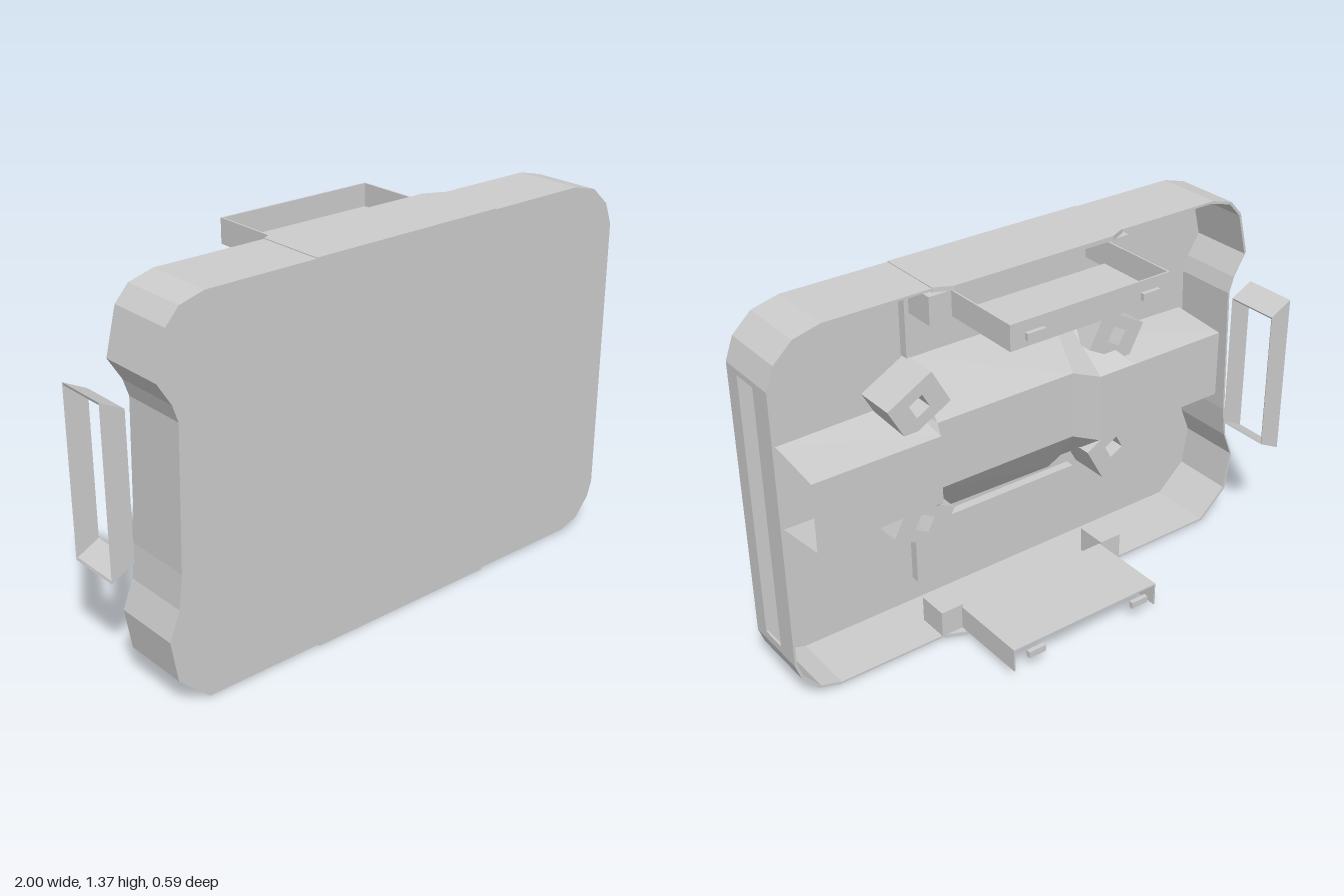
import * as THREE from 'three';

const mat = new THREE.MeshStandardMaterial({ color: 0xcccccc, flatShading: true, side: THREE.DoubleSide });
const MID = 0.68; // height of the horizontal mirror line

function add(parent, name, geo) {
  const m = new THREE.Mesh(geo, mat);
  m.name = name;
  parent.add(m);
  return m;
}

function box(parent, name, x0, x1, y0, y1, z0, z1) {
  const m = add(parent, name, new THREE.BoxGeometry(x1 - x0, y1 - y0, z1 - z0));
  m.position.set((x0 + x1) / 2, (y0 + y1) / 2, (z0 + z1) / 2);
  return m;
}

const vecs = pts => pts.map(p => new THREE.Vector2(p[0], p[1]));

function shapeOf(pts, hole) {
  const s = new THREE.Shape(vecs(pts));
  if (hole) s.holes.push(new THREE.Path(vecs(hole)));
  return s;
}

// flat shape in x/y given thickness from z0 to z1
function slab(parent, name, shape, z0, z1) {
  const g = new THREE.ExtrudeGeometry(shape, { depth: z1 - z0, bevelEnabled: false });
  return add(parent, name, g.translate(0, 0, z0));
}

// joins equal-length closed loops of [x, y, z] points with quads
function loft(loops) {
  const n = loops[0].length, idx = [];
  for (let i = 0; i < loops.length - 1; i++)
    for (let j = 0; j < n; j++) {
      const a = i * n + j, b = i * n + (j + 1) % n;
      idx.push(a, b, a + n, b, b + n, a + n);
    }
  const g = new THREE.BufferGeometry();
  g.setAttribute('position', new THREE.Float32BufferAttribute(loops.flat(2), 3));
  g.setIndex(idx);
  const flat = g.toNonIndexed();
  flat.computeVertexNormals();
  return flat;
}

export function createModel() {
  const root = new THREE.Group();
  root.name = 'mountingTray';

  // tray outline, counter-clockwise from the lower edge, with a grip recess at -x
  const outer = [
    [-0.82, 0.005], [0.84, 0.005], [0.92, 0.03], [0.98, 0.1], [1, 0.16],
    [1, 1.19], [0.97, 1.27], [0.9, 1.335], [0.8, 1.36],
    [-0.78, 1.36], [-0.87, 1.335], [-0.92, 1.28], [-0.96, 1.12], [-0.91, 1.04], [-0.89, 0.98],
    [-0.905, 0.48], [-0.92, 0.36], [-0.96, 0.26], [-0.935, 0.11],
  ];
  const inner = outer.map(([x, y]) => [0.02 + (x - 0.02) * 0.992, MID + (y - MID) * 0.988]);

  // thin-walled shell, open at the back
  const shell = new THREE.Group();
  shell.name = 'shell';
  root.add(shell);
  slab(shell, 'frontPanel', shapeOf(outer), 0.285, 0.295);
  const ring = shapeOf(outer, inner);
  slab(shell, 'rearRim', ring, 0.04, 0.13);
  slab(shell, 'frontRim', ring, 0.23, 0.285);

  // middle of the rim leaves a long side slot open at +x
  const xi = inner[4][0];
  const cut = [
    [1, 1.17], ...outer.slice(5), ...outer.slice(0, 5), [1, 0.19],
    [xi, 0.19], ...inner.slice(0, 5).reverse(), ...inner.slice(5).reverse(), [xi, 1.17],
  ];
  slab(shell, 'slottedRim', shapeOf(cut), 0.13, 0.23);

  // upper and lower tabs with flange, hinge lugs and latch pins
  for (const s of [1, -1]) {
    const end = new THREE.Group();
    end.name = s > 0 ? 'upperTab' : 'lowerTab';
    const Y = (a, b) => (s > 0 ? [a, b] : [2 * MID - b, 2 * MID - a]);
    const flange = shapeOf([[-0.365, 0.295], [-0.365, 0.04], [-0.3, 0.01], [0.34, 0.01], [0.405, 0.04], [0.405, 0.295]]);
    const g = new THREE.ExtrudeGeometry(flange, { depth: 0.016, bevelEnabled: false });
    g.rotateX(Math.PI / 2).translate(0, Y(1.347, 1.363)[1], 0);
    add(end, 'flange', g);
    box(end, 'tabPlate', -0.295, 0.34, ...Y(1.25, 1.256), -0.28, 0.04);
    // only the upper tab is closed at its end
    if (s > 0) box(end, 'tabEndWall', -0.295, 0.34, 1.25, 1.34, -0.28, -0.274);
    for (const x of [-0.295, 0.334]) box(end, 'tabSideWall', x, x + 0.006, ...Y(1.25, 1.34), -0.28, 0.04);
    for (const x of [-0.34, 0.38]) box(end, 'hingeLug', x - 0.045, x + 0.045, ...Y(1.24, 1.34), 0.03, 0.15);
    for (const x of [-0.21, 0.25]) box(end, 'latchPin', x - 0.035, x + 0.035, ...Y(1.275, 1.3), -0.295, -0.278);
    // shallow raised pad on the inside of the panel
    box(end, 'innerPad', -0.33, 0.38, ...Y(1.02, 1.25), 0.25, 0.285);
    root.add(end);
  }

  // flared closed grip loop at -x
  const gripLoop = (x, h, t) => [
    [x, MID - h, 0.045 - t], [x, MID + h, 0.045 - t], [x, MID + h, t - 0.16], [x, MID - h, t - 0.16],
  ];
  const grip = [gripLoop(-1, 0.31, 0), gripLoop(-0.912, 0.265, 0), gripLoop(-0.915, 0.258, 0.005), gripLoop(-0.997, 0.3, 0.005)];
  add(root, 'gripLoop', loft([...grip, grip[0]]));

  // wavy central spine: [x, rear z, rear half height, front half height]
  const spine = [
    [0.87, 0.06, 0.13, 0.16], [0.38, 0.06, 0.13, 0.17], [0.34, 0.14, 0.13, 0.32],
    [-0.24, 0.14, 0.13, 0.33], [-0.3, 0.06, 0.13, 0.3], [-0.46, 0.06, 0.13, 0.16], [-0.87, 0.06, 0.13, 0.15],
  ];
  add(root, 'centralSpine', loft(spine.map(([x, z, b, f]) => [
    [x, MID - f, 0.285], [x, MID - b, z], [x, MID + b, z], [x, MID + f, 0.285],
  ])));

  // slanted bosses along the spine, each with a square opening
  const boss = shapeOf([[-0.1, -0.075], [0.1, -0.075], [0.1, 0.075], [-0.1, 0.075]],
    [[-0.03, -0.03], [-0.03, 0.03], [0.03, 0.03], [0.03, -0.03]]);
  for (const x of [0.42, -0.42])
    for (const s of [1, -1]) {
      const m = slab(root, 'boss', boss, -0.08, 0.08);
      m.position.set(x, MID + s * 0.23, 0.2);
      m.rotation.z = -s * Math.sign(x) * 0.5;
    }
  return root;
}
